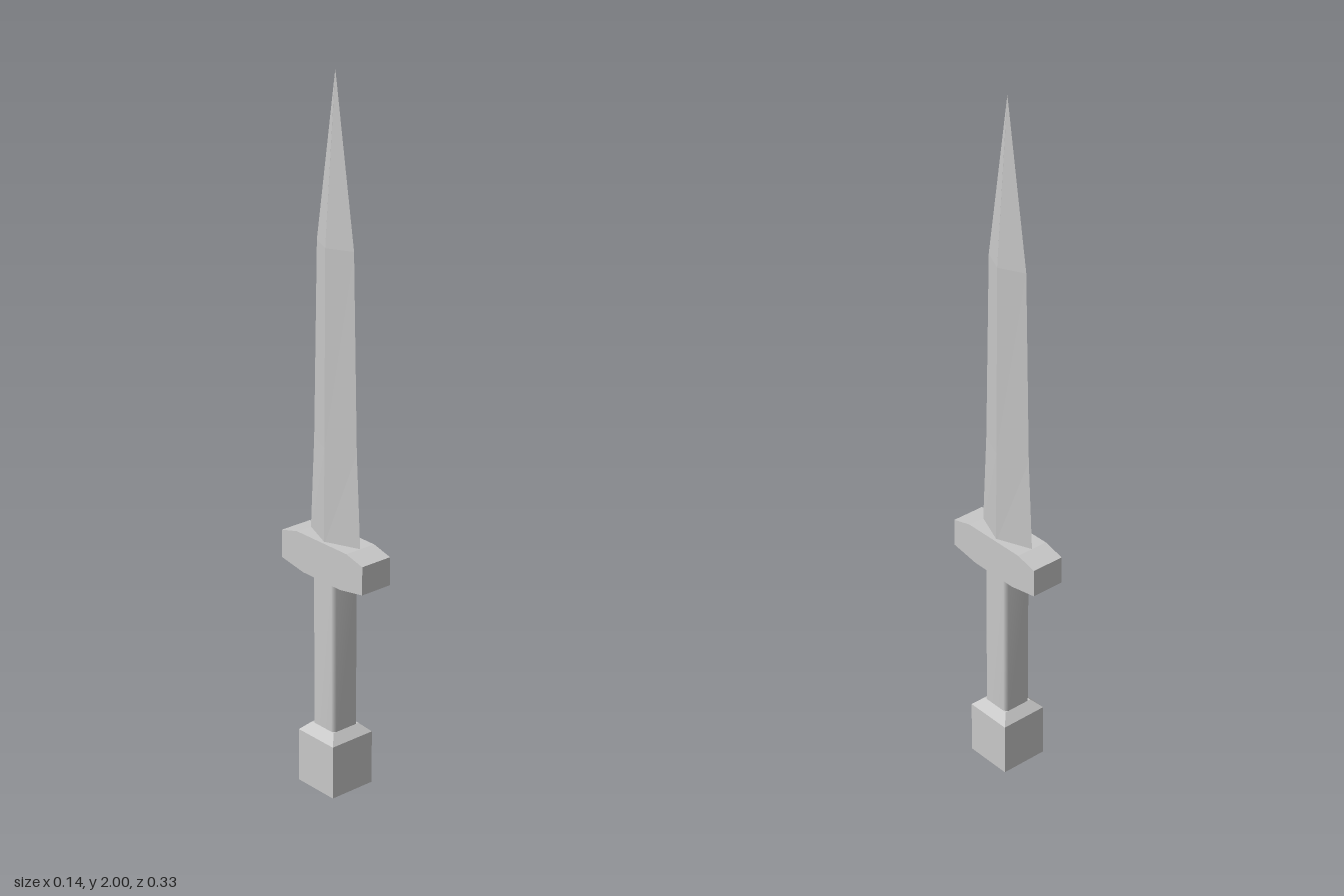
import * as THREE from 'three';

// Joins rings of points (each an array of [x, y, z], counter-clockwise seen from above), bottom to top.
function loft(rings, smooth, capBottom, capTop) {
  const n = rings[0].length;
  const index = [];
  for (let r = 0; r < rings.length - 1; r++) {
    for (let i = 0; i < n; i++) {
      const a = r * n + i, b = r * n + (i + 1) % n;
      index.push(a, b, b + n, a, b + n, a + n);
    }
  }
  const top = (rings.length - 1) * n;
  for (let i = 1; i < n - 1; i++) {
    if (capBottom) index.push(0, i + 1, i);
    if (capTop) index.push(top, top + i, top + i + 1);
  }
  let geometry = new THREE.BufferGeometry();
  geometry.setAttribute('position', new THREE.Float32BufferAttribute(rings.flat(2), 3));
  geometry.setIndex(index);
  if (!smooth) geometry = geometry.toNonIndexed();
  geometry.computeVertexNormals();
  return geometry;
}

// Cross-sections
const diamond = (x, z, y) => [[x, y, 0], [0, y, -z], [-x, y, 0], [0, y, z]];
const square = (s, y) => [[s, y, s], [s, y, -s], [-s, y, -s], [-s, y, s]];
const chamfered = (s, c, y) => [
  [s, y, s - c], [s, y, c - s], [s - c, y, -s], [c - s, y, -s],
  [-s, y, c - s], [-s, y, s - c], [c - s, y, s], [s - c, y, s],
];

export function createModel() {
  const group = new THREE.Group();
  const steel = new THREE.MeshStandardMaterial({ color: 0xc8c8c8 });
  steel.name = 'plainGrey';

  const add = (name, geometry) => {
    const mesh = new THREE.Mesh(geometry, steel);
    mesh.name = name;
    group.add(mesh);
    return mesh;
  };

  // Square pommel with a sloped shoulder
  add('pommel', loft([square(0.071, 0), square(0.071, 0.157), square(0.045, 0.182)], false, true, true));

  // Square grip with softened corners
  add('grip', loft([chamfered(0.045, 0.01, 0.17), chamfered(0.045, 0.01, 0.63)], true));

  // Crossguard: profile in z and y, extruded across x
  const profile = new THREE.Shape([
    [-0.163, 0.637], [-0.075, 0.622], [0.075, 0.622], [0.163, 0.637],
    [0.163, 0.718], [0.1, 0.734], [-0.1, 0.734], [-0.163, 0.718],
  ].map(([z, y]) => new THREE.Vector2(z, y)));
  const guard = new THREE.ExtrudeGeometry(profile, { depth: 0.098, bevelEnabled: false });
  guard.translate(0, 0, -0.049);
  guard.rotateY(Math.PI / 2);
  add('crossguard', guard);

  // Diamond-section blade narrowing to a point
  add('blade', loft([
    diamond(0.04, 0.1, 0.725),
    diamond(0.038, 0.085, 1.0),
    diamond(0.034, 0.072, 1.545),
    diamond(0.0005, 0.0005, 2),
  ], false, false, true));

  return group;
}
